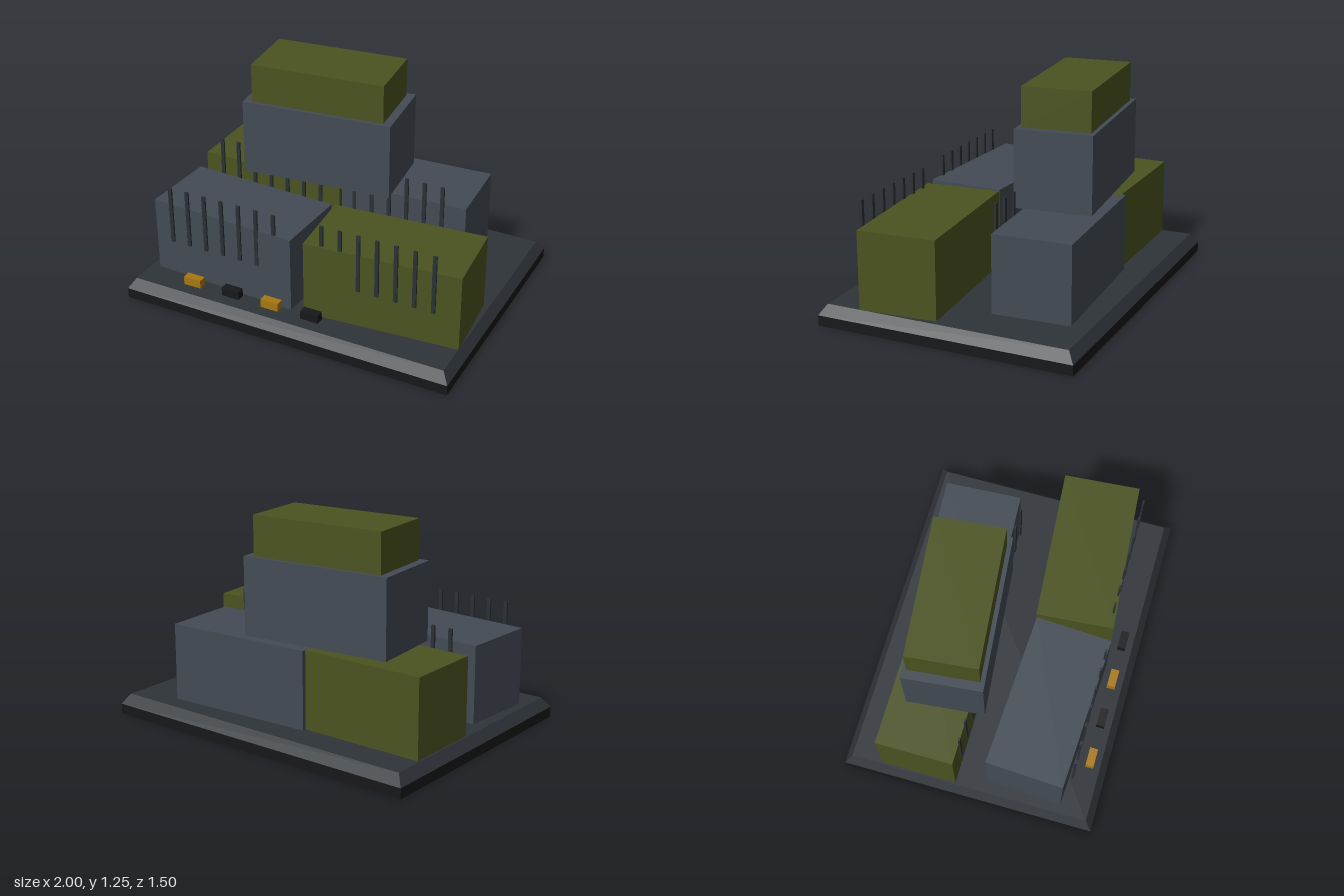
import * as THREE from 'three';

const material = (color) => new THREE.MeshStandardMaterial({ color, flatShading: true });

export function createModel() {
  const model = new THREE.Group();
  const green = material(0x4b5320);
  const slate = material(0x434b54);
  const deck = material(0x2f3439);
  const black = material(0x17181a);
  const rodGrey = material(0x2b3035);
  const amber = material(0xa87812);

  // Adds a box given its size, centre and turn about the vertical
  function addBox(name, mat, [w, h, d], [x, y, z], turn = 0) {
    const mesh = new THREE.Mesh(new THREE.BoxGeometry(w, h, d), mat);
    mesh.name = name;
    mesh.position.set(x, y, z);
    mesh.rotation.y = turn;
    model.add(mesh);
    return mesh;
  }

  // Base slab with a bevelled deck on top
  addBox('baseSlab', black, [2, 0.06, 1.5], [0, 0.03, 0]);
  const bevel = addBox('bevelledDeck', deck, [2, 0.06, 1.5], [0, 0.09, 0]);
  const p = bevel.geometry.attributes.position;
  for (let i = 0; i < p.count; i++) {
    if (p.getY(i) > 0) {
      p.setX(i, Math.sign(p.getX(i)) * 0.96);
      p.setZ(i, Math.sign(p.getZ(i)) * 0.71);
    }
  }
  bevel.geometry.computeVertexNormals();

  // Four ground containers, each with a row of seven upright rods at its front
  const containers = [
    ['frontRightContainer', slate, -0.45, 0.34, -0.05],
    ['frontLeftContainer', green, 0.495, 0.32, 0.078],
    ['backRightContainer', green, -0.5, -0.305, 0],
    ['backLeftContainer', slate, 0.248, -0.355, 0.056],
  ];
  for (const [name, mat, x, z, turn] of containers) {
    addBox(name, mat, [0.9, 0.45, 0.45], [x, 0.345, z], turn);
    for (let i = 0; i < 7; i++) {
      addBox('rod', rodGrey, [0.022, 0.35, 0.011], [x + (i - 3) * 0.11, 0.52, z + 0.235]);
    }
  }

  // Stacked upper container and its smaller cap
  addBox('upperContainer', slate, [0.9, 0.45, 0.45], [-0.203, 0.795, -0.255], 0.1);
  addBox('topContainer', green, [0.8, 0.23, 0.4], [-0.203, 1.135, -0.255], 0.1);

  // Row of small marker blocks along the front edge
  for (let i = 0; i < 4; i++) {
    addBox('markerBlock', i % 2 ? black : amber, [0.108, 0.05, 0.048], [-0.604 + i * 0.25, 0.172, 0.648]);
  }

  return model;
}
